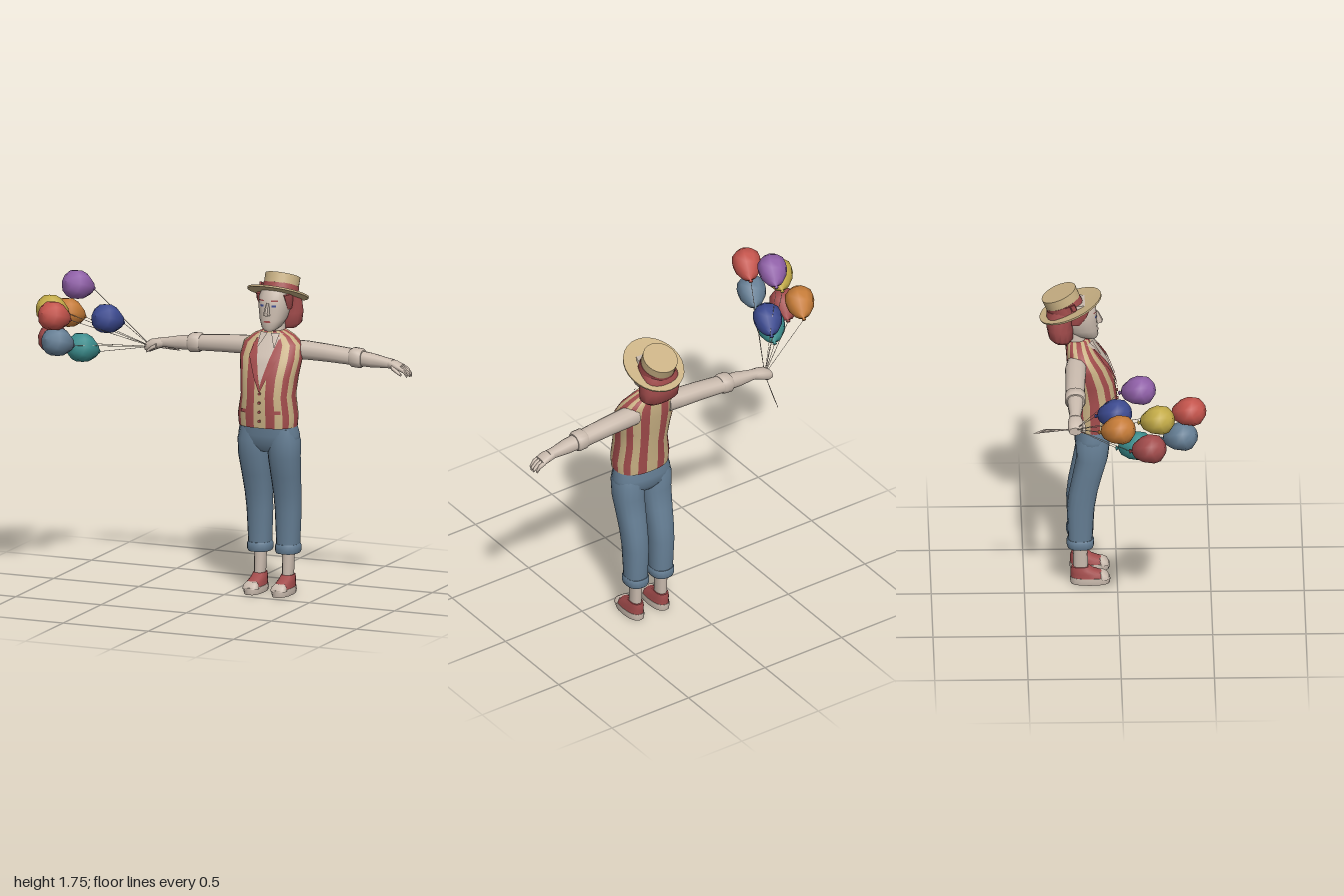
import * as THREE from 'three';
import { toCreasedNormals } from 'three/addons/utils/BufferGeometryUtils.js';

const CX = 0.206; // body centre line
const POWER = 2.4; // roundness of the cross-sections

const paint = (name, color) => Object.assign(new THREE.MeshStandardMaterial({ color }), { name });

// Loft through rings [y, centreX, radiusX, zFront, zBack]; groupOf(column) picks a material slot
function loft(rings, segs = 16, groupOf = null, crease = 0.8) {
  if (rings[0][0] > rings[rings.length - 1][0]) rings = [...rings].reverse();
  const pos = [], idx = [];
  const bend = t => Math.sign(t) * Math.abs(t) ** (2 / POWER);
  for (const [y, cx, rx, zf, zb] of rings)
    for (let j = 0; j < segs; j++) {
      const a = j / segs * Math.PI * 2;
      pos.push(cx + rx * bend(Math.cos(a)), y, (zf + zb) / 2 + (zf - zb) / 2 * bend(Math.sin(a)));
    }
  const last = rings.length - 1, base = rings.length * segs;
  for (const r of [rings[0], rings[last]]) pos.push(r[1], r[0], (r[3] + r[4]) / 2);
  const geo = new THREE.BufferGeometry();
  for (let j = 0; j < segs; j++) {
    const k = (j + 1) % segs, start = idx.length;
    idx.push(base, j, k);
    for (let i = 0; i < last; i++) {
      const a = i * segs + j, b = i * segs + k, c = a + segs, d = b + segs;
      idx.push(a, c, b, b, c, d);
    }
    idx.push(base + 1, last * segs + k, last * segs + j);
    if (groupOf) geo.addGroup(start, idx.length - start, groupOf(j));
  }
  geo.setAttribute('position', new THREE.Float32BufferAttribute(pos, 3));
  geo.setIndex(idx);
  return toCreasedNormals(geo, crease);
}

// Front depth of a loft at a point
function frontZ(rings, x, y) {
  let i = 0;
  while (i < rings.length - 2 && y > rings[i + 1][0]) i++;
  const t = THREE.MathUtils.clamp((y - rings[i][0]) / (rings[i + 1][0] - rings[i][0]), 0, 1);
  const [, cx, rx, zf, zb] = rings[i].map((v, k) => v + (rings[i + 1][k] - v) * t);
  const u = Math.min(1, Math.abs((x - cx) / rx));
  return (zf + zb) / 2 + (zf - zb) / 2 * (1 - u ** POWER) ** (1 / POWER);
}

// Thin sheet laid over the front of a loft, between two edges given as functions of height
function patch(rings, y0, y1, edgeA, edgeB, off, nx = 4, ny = 10) {
  const geo = new THREE.PlaneGeometry(1, 1, nx, ny), p = geo.attributes.position;
  for (let i = 0; i < p.count; i++) {
    const t = p.getY(i) + 0.5, y = y0 + (y1 - y0) * t;
    const a = CX + edgeA(t), b = CX + edgeB(t), lo = Math.min(a, b), hi = Math.max(a, b);
    const x = lo + (hi - lo) * (p.getX(i) + 0.5);
    p.setXYZ(i, x, y, frontZ(rings, x, y) + off);
  }
  geo.computeVertexNormals();
  return geo;
}

export function createModel() {
  const model = new THREE.Group();
  const skin = paint('cream', 0xcabbae), red = paint('darkRed', 0xa24c4c), tan = paint('straw', 0xc9b184);
  const denim = paint('slateBlue', 0x667f95), purple = paint('purple', 0x9060a8), yellow = paint('yellow', 0xc4ac48);
  const scarlet = paint('scarlet', 0xc4544c), orange = paint('orange', 0xc67c38);
  const navy = paint('navy', 0x3c4a90), teal = paint('teal', 0x3c8e8e);
  const add = (name, geo, mat, parent = model) => {
    const m = new THREE.Mesh(geo, mat);
    m.name = name;
    parent.add(m);
    return m;
  };

  // Striped waistcoat
  const torso = [
    [0.93, CX, 0.16, -0.005, -0.235], [0.99, CX, 0.165, 0, -0.24], [1.1, CX, 0.148, 0, -0.245],
    [1.2, CX, 0.158, -0.015, -0.26], [1.3, CX, 0.174, -0.055, -0.27], [1.37, CX, 0.165, -0.105, -0.275],
    [1.41, CX, 0.115, -0.135, -0.27], [1.435, CX, 0.06, -0.15, -0.265]];
  add('waistcoat', loft(torso, 40, j => Math.floor((j + 1) / 2) % 2), [red, tan]);
  add('shirtFront', patch(torso, 1.16, 1.425, t => -0.07 * t, t => 0.07 * t, 0.003, 6, 14), skin);
  for (const s of [-1, 1]) {
    add('lapel', patch(torso, 1.13, 1.4, t => s * 0.066 * Math.max(0, t - 0.1),
      t => s * (0.066 * t + (t < 0.7 ? 0.055 * t : 0.128 * (1 - t)) + 0.004), 0.008, 4, 14), red);
    add('collar', patch(torso, 1.36, 1.43, t => s * (0.045 - 0.035 * t), t => s * (0.05 + 0.006 * t), 0.013), skin);
    add('pocketTrim', patch(torso, 1.01, 1.03, () => s * 0.06, () => s * 0.115, 0.006, 4, 1), red);
  }
  for (const y of [1.12, 1.07, 1.02, 0.97])
    add('button', new THREE.CylinderGeometry(0.008, 0.008, 0.01, 8).rotateX(Math.PI / 2), red)
      .position.set(CX, y, frontZ(torso, CX, y) + 0.003);

  // Trousers, ankles and shoes
  add('trouserSeat', loft([[0.79, CX, 0.13, -0.07, -0.2], [0.83, CX, 0.168, -0.045, -0.228],
    [0.88, CX, 0.172, -0.035, -0.23], [0.95, CX, 0.155, -0.03, -0.22]], 24), denim);
  for (const s of [-1, 1]) {
    const at = d => CX + s * d;
    add('trouserLeg', loft([[0.24, at(0.082), 0.06, -0.134, -0.263], [0.45, at(0.083), 0.068, -0.122, -0.271],
      [0.55, at(0.084), 0.072, -0.105, -0.26], [0.65, at(0.085), 0.078, -0.08, -0.24],
      [0.76, at(0.087), 0.085, -0.05, -0.22], [0.85, at(0.087), 0.086, -0.04, -0.225],
      [0.92, at(0.08), 0.075, -0.045, -0.2]]), denim);
    add('trouserCuff', loft([[0.22, at(0.082), 0.062, -0.128, -0.268], [0.232, at(0.082), 0.067, -0.124, -0.272],
      [0.26, at(0.082), 0.067, -0.124, -0.272], [0.27, at(0.082), 0.062, -0.128, -0.268]]), denim);
    add('ankle', loft([[0.07, at(0.082), 0.028, -0.155, -0.235], [0.25, at(0.082), 0.033, -0.162, -0.24]], 12), skin);
    add('sole', loft([[0, at(0.082), 0.048, -0.04, -0.25], [0.018, at(0.082), 0.051, -0.037, -0.253],
      [0.038, at(0.082), 0.049, -0.038, -0.252]]), skin);
    add('shoe', loft([[0.036, at(0.082), 0.047, -0.045, -0.25], [0.06, at(0.082), 0.043, -0.065, -0.25],
      [0.08, at(0.082), 0.039, -0.125, -0.25], [0.1, at(0.082), 0.034, -0.15, -0.245]]), red);
    add('toeCap', loft([[0.03, at(0.082), 0.046, -0.04, -0.1], [0.05, at(0.082), 0.042, -0.048, -0.1],
      [0.066, at(0.082), 0.028, -0.07, -0.1]]), skin);
  }

  // Arms: rings [distance from centre, y, radiusY, zFront, zBack], lofted along x
  for (const s of [-1, 1]) {
    const limb = (name, rings) => add(name, loft(rings.map(([d, y, r, f, b]) => [CX + s * d, -y, r, f, b]), 14)
      .rotateZ(-Math.PI / 2), skin);
    limb('sleeve', [[0.1, 1.33, 0.054, -0.165, -0.27], [0.18, 1.332, 0.05, -0.168, -0.282],
      [0.3, 1.327, 0.047, -0.175, -0.282], [0.45, 1.317, 0.043, -0.182, -0.284]]);
    limb('sleeveCuff', [[0.44, 1.317, 0.046, -0.182, -0.282], [0.452, 1.317, 0.053, -0.176, -0.288],
      [0.495, 1.314, 0.053, -0.176, -0.288], [0.508, 1.314, 0.045, -0.184, -0.28]]);
    limb('forearm', [[0.49, 1.313, 0.041, -0.19, -0.276], [0.56, 1.308, 0.038, -0.193, -0.274],
      [0.64, 1.301, 0.028, -0.205, -0.266], [0.68, 1.298, 0.025, -0.205, -0.268]]);
    if (s > 0) {
      limb('palm', [[0.66, 1.299, 0.025, -0.205, -0.268], [0.7, 1.292, 0.023, -0.195, -0.276],
        [0.735, 1.28, 0.019, -0.197, -0.276]]);
      for (let i = 0; i < 4; i++) {
        const z = -0.197 - i * 0.02, tip = i === 0 || i === 3 ? 0.774 : 0.784;
        limb('finger', [[0.725, 1.283, 0.013, z, z - 0.021], [0.755, 1.27, 0.012, z, z - 0.02],
          [tip, 1.245, 0.009, z - 0.002, z - 0.018]]);
      }
    } else {
      limb('fist', [[0.66, 1.298, 0.024, -0.205, -0.268], [0.7, 1.288, 0.03, -0.195, -0.276],
        [0.74, 1.275, 0.034, -0.195, -0.278], [0.766, 1.268, 0.022, -0.205, -0.27]]);
    }
    limb('thumb', [[0.69, 1.285, 0.012, -0.185, -0.21], [0.72, 1.268, 0.011, -0.182, -0.203],
      [0.745, 1.25, 0.007, -0.184, -0.2]]);
  }

  // Neck, head and hair
  add('neck', loft([[1.39, CX, 0.058, -0.16, -0.27], [1.43, CX, 0.05, -0.17, -0.27], [1.52, CX, 0.048, -0.18, -0.28]]), skin);
  const head = [[1.442, CX, 0.028, -0.108, -0.18], [1.46, CX, 0.048, -0.1, -0.23], [1.5, CX, 0.068, -0.103, -0.28],
    [1.56, CX, 0.08, -0.108, -0.31], [1.62, CX, 0.083, -0.112, -0.33], [1.66, CX, 0.072, -0.14, -0.32]];
  add('head', loft(head, 20), skin);
  add('hair', loft([[1.435, CX, 0.085, -0.245, -0.345], [1.46, CX, 0.112, -0.232, -0.368],
    [1.52, CX, 0.117, -0.228, -0.38], [1.59, CX, 0.108, -0.222, -0.378], [1.64, CX, 0.092, -0.17, -0.36]], 18), red);
  add('nose', loft([[1.53, CX, 0.017, -0.08, -0.12], [1.545, CX, 0.015, -0.074, -0.12],
    [1.595, CX, 0.008, -0.1, -0.125]], 8), skin);
  add('lips', patch(head, 1.49, 1.5, t => -0.022 + 0.006 * t, t => 0.022 - 0.006 * t, 0.003, 4, 2), red);
  for (const s of [-1, 1]) {
    add('eye', patch(head, 1.575, 1.586, () => s * 0.024, () => s * 0.046, 0.003, 3, 1), navy);
    add('eyebrow', patch(head, 1.605, 1.612, () => s * 0.02, () => s * 0.054, 0.003, 4, 1), red);
    add('temple', loft([[1.55, CX + s * 0.078, 0.008, -0.2, -0.25], [1.6, CX + s * 0.083, 0.012, -0.165, -0.25],
      [1.635, CX + s * 0.08, 0.014, -0.15, -0.25]], 8), red);
  }

  // Straw hat, tipped back
  const hat = new THREE.Group();
  hat.name = 'hat';
  hat.position.set(CX, 1.622, -0.247);
  hat.rotation.x = -0.4;
  model.add(hat);
  const brim = new THREE.LatheGeometry([[0, -0.006], [0.11, -0.006], [0.17, 0], [0.171, 0.01], [0.11, 0.006], [0, 0.006]]
    .map(p => new THREE.Vector2(...p)), 28);
  add('brim', toCreasedNormals(brim, 0.5).scale(0.96, 1, 1.05), tan, hat);
  add('hatBand', new THREE.CylinderGeometry(0.097, 0.099, 0.05, 24).translate(0, 0.028, -0.027), red, hat);
  add('crown', new THREE.CylinderGeometry(0.095, 0.094, 0.056, 24).scale(1, 1, 1.04).translate(0, 0.078, -0.027), tan, hat);
  for (const k of [-1, 1])
    add('bandBow', new THREE.BoxGeometry(0.012, 0.034, 0.024).translate(-0.093, 0.032, 0.014 + k * 0.014), red, hat);

  // Balloons and strings gathered in the right fist
  const profile = [[0, -0.115], [0.012, -0.111], [0.005, -0.1], [0.042, -0.075], [0.071, -0.025], [0.081, 0.02],
    [0.073, 0.06], [0.043, 0.09], [0, 0.1]].map(p => new THREE.Vector2(...p));
  const balloon = new THREE.LatheGeometry(profile, 10);
  const towards = new THREE.Vector3(0.45, -0.36, -1).normalize();
  const grip = new THREE.Vector3(-0.53, 1.268, -0.235);
  const spots = [
    [purple, -0.81, 1.645, 0.09], [yellow, -0.918, 1.52, 0.19], [scarlet, -0.83, 1.525, 0.36],
    [orange, -0.912, 1.46, -0.02], [navy, -0.692, 1.443, -0.035], [red, -0.925, 1.35, 0.145],
    [denim, -0.83, 1.375, 0.315], [teal, -0.788, 1.298, 0.075]];
  spots.forEach(([mat, x, y, z], i) => {
    const b = add('balloon', balloon, mat);
    b.position.set(x, y, z);
    b.quaternion.setFromUnitVectors(new THREE.Vector3(0, 1, 0), towards.clone().negate());
    const knot = b.position.clone().addScaledVector(towards, 0.11);
    const tail = new THREE.Vector3(-0.468 + 0.001 * i, 1.235 - 0.004 * i, -0.41 - 0.007 * i);
    const path = new THREE.CurvePath();
    path.add(new THREE.LineCurve3(knot, grip));
    path.add(new THREE.LineCurve3(grip, tail));
    add('string', new THREE.TubeGeometry(path, 12, 0.0015, 4), skin);
  });
  return model;
}
